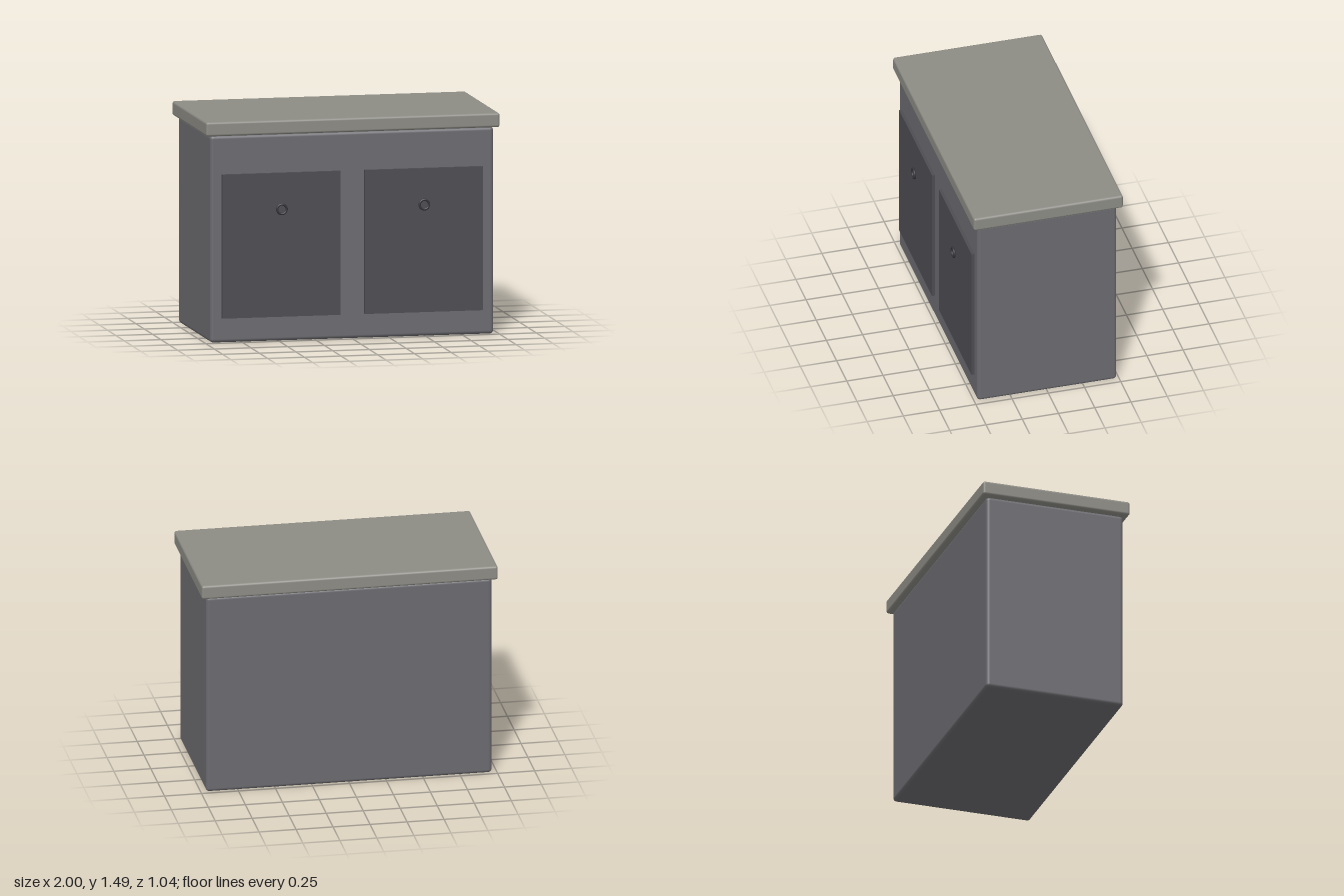
import * as THREE from 'three';
import { RoundedBoxGeometry } from 'three/addons/geometries/RoundedBoxGeometry.js';

const material = (color) => new THREE.MeshStandardMaterial({ color });

export function createModel() {
  const model = new THREE.Group();
  model.name = 'cabinet';

  const add = (name, geometry, mat, x, y, z) => {
    const mesh = new THREE.Mesh(geometry, mat);
    mesh.name = name;
    mesh.position.set(x, y, z);
    model.add(mesh);
  };

  const bodyGrey = material(0x6b6a6f);
  const topGrey = material(0x8c8b84);
  const doorGrey = material(0x4d4c52);
  const handleGrey = material(0x35353a);

  // Softly rounded carcass and overhanging worktop
  add('body', new RoundedBoxGeometry(1.93, 1.39, 0.962, 4, 0.024), bodyGrey, 0, 0.695, -0.003);
  add('worktop', new RoundedBoxGeometry(2, 0.096, 1.03, 4, 0.016), topGrey, 0, 1.438, -0.003);

  // Two sharp-edged doors, each with a ring handle
  const doorGeometry = new THREE.BoxGeometry(0.805, 0.966, 0.04);
  const ringGeometry = new THREE.TorusGeometry(0.032, 0.008, 12, 32);
  for (const [side, x] of [['left', 0.485], ['right', -0.485]]) {
    add(side + 'Door', doorGeometry, doorGrey, x, 0.647, 0.478);
    add(side + 'RingHandle', ringGeometry, handleGrey, x, 0.888, 0.512);
  }

  return model;
}
